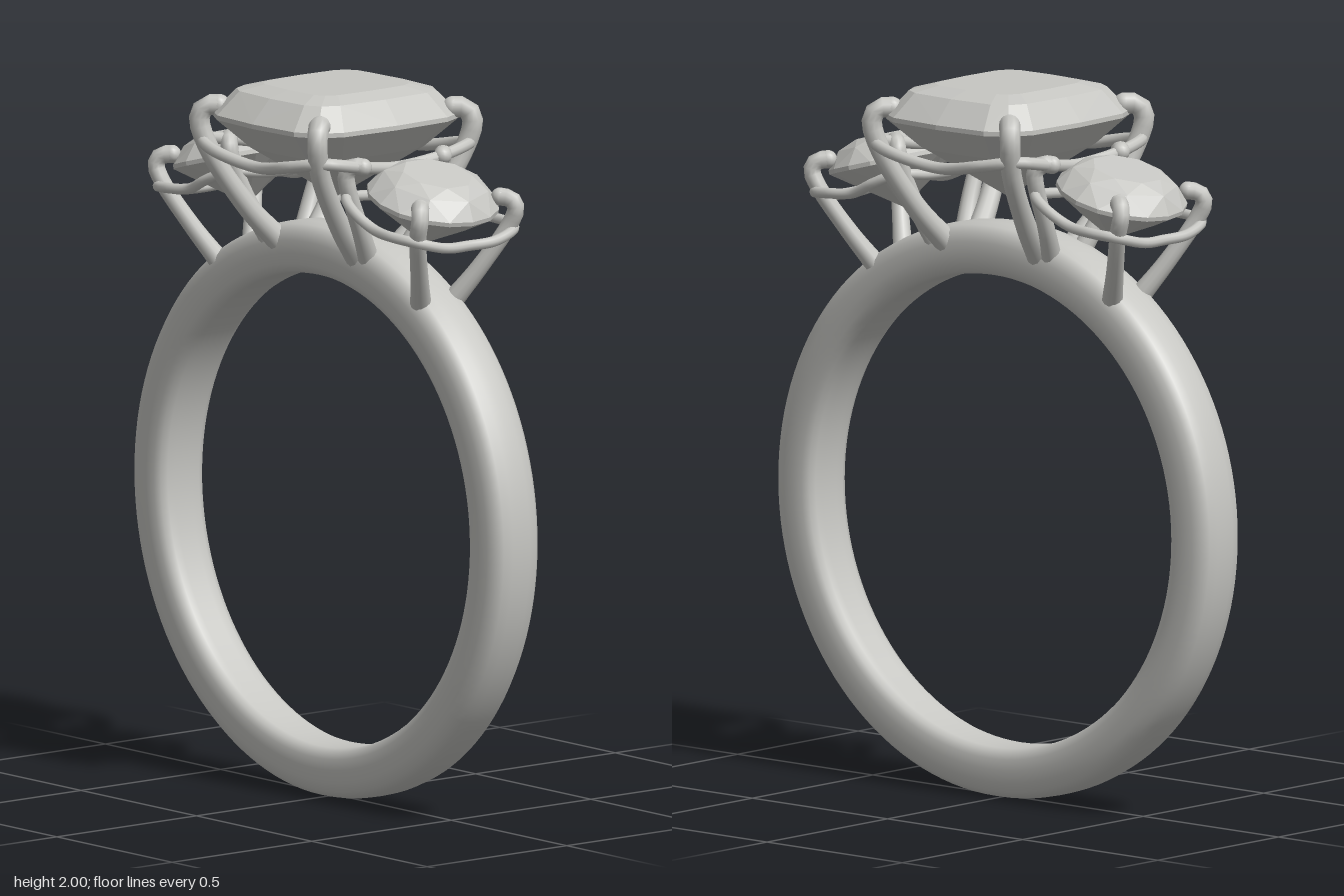
import * as THREE from 'three';
import { ConvexGeometry } from 'three/addons/geometries/ConvexGeometry.js';

const V = (x, y, z) => new THREE.Vector3(x, y, z);
const silver = new THREE.MeshStandardMaterial({ color: 0xc6c6c2 });
silver.name = 'silver';

function add(parent, geometry, name) {
  const mesh = new THREE.Mesh(geometry, silver);
  mesh.name = name;
  parent.add(mesh);
  return mesh;
}

// One loop of a stone: a superellipse, round at power 2 and squarer above it
function loop(n, rx, rz, y, power = 2, offset = 0) {
  return Array.from({ length: n }, (_, i) => {
    const a = (i + offset) / n * Math.PI * 2;
    const f = v => Math.sign(v) * Math.pow(Math.abs(v), 2 / power);
    return V(rx * f(Math.cos(a)), y, rz * f(Math.sin(a)));
  });
}

// Claw: a bent round wire, wider at the foot and tip, with a rounded tip
function addProng(parent, points, radius, name) {
  const curve = new THREE.CatmullRomCurve3(points);
  const rings = 20, sides = 12;
  const geo = new THREE.TubeGeometry(curve, rings, radius, sides);
  const p = geo.attributes.position, v = V(), c = V();
  for (let i = 0; i < p.count; i++) {
    const t = Math.floor(i / (sides + 1)) / rings;
    curve.getPointAt(t, c);
    v.fromBufferAttribute(p, i).sub(c);
    v.multiplyScalar(1 + 0.35 * Math.pow(1 - t, 3) + 0.15 * t * t).add(c);
    p.setXYZ(i, v.x, v.y, v.z);
  }
  add(parent, geo, name);
  const tip = add(parent, new THREE.SphereGeometry(radius * 1.15, 14, 10), name + 'Tip');
  tip.position.copy(points[points.length - 1]);
}

// Closed wire rail, mirrored from one quadrant running from +x to +z
function addRail(parent, quadrant, radius, name) {
  const points = [];
  for (const [sx, sz] of [[1, 1], [-1, 1], [-1, -1], [1, -1]]) {
    const q = sx * sz > 0 ? quadrant : [...quadrant].reverse();
    q.slice(0, -1).forEach(([x, y, z]) => points.push(V(x * sx, y, z * sz)));
  }
  const curve = new THREE.CatmullRomCurve3(points, true);
  return add(parent, new THREE.TubeGeometry(curve, 96, radius, 10, true), name);
}

function createBand() {
  const half = [[0.662, 0.03], [0.662, 0.056], [0.67, 0.074], [0.69, 0.083], [0.72, 0.086],
    [0.755, 0.084], [0.782, 0.076], [0.798, 0.058], [0.804, 0.03]];
  const profile = [
    ...half.map(([r, h]) => new THREE.Vector2(r, -h)),
    new THREE.Vector2(0.805, 0),
    ...[...half].reverse().map(([r, h]) => new THREE.Vector2(r, h)),
    new THREE.Vector2(0.662, -0.03),
  ];
  const geo = new THREE.LatheGeometry(profile, 128);
  geo.rotateX(Math.PI / 2);
  // Slightly wider toward the setting
  const p = geo.attributes.position;
  for (let i = 0; i < p.count; i++) p.setZ(i, p.getZ(i) * (1 + 0.06 * p.getY(i) / 0.8));
  geo.translate(0, 0.805, 0);
  return geo;
}

export function createModel() {
  const ring = new THREE.Group();
  ring.name = 'ring';
  add(ring, createBand(), 'band');

  // Centre stone: cushion cut
  const centre = new THREE.Group();
  centre.name = 'centreSetting';
  ring.add(centre);
  add(centre, new ConvexGeometry([
    ...loop(16, 0.155, 0.172, 2.0, 5),
    ...loop(16, 0.215, 0.238, 1.983, 4.5),
    ...loop(16, 0.27, 0.3, 1.918, 4),
    ...loop(16, 0.27, 0.3, 1.905, 4),
    ...loop(16, 0.195, 0.215, 1.825, 4),
    V(0, 1.68, 0),
  ]), 'centreStone');
  addRail(centre, [
    [0.262, 1.80, 0], [0.285, 1.82, 0.15], [0.262, 1.838, 0.262],
    [0.17, 1.822, 0.3], [0, 1.795, 0.283],
  ], 0.017, 'centreRail');
  for (const sx of [1, -1]) for (const sz of [1, -1]) {
    addProng(centre, [
      V(0.17 * sx, 1.54, 0.062 * sz), V(0.2 * sx, 1.64, 0.15 * sz),
      V(0.24 * sx, 1.81, 0.256 * sz), V(0.256 * sx, 1.9, 0.278 * sz),
      V(0.243 * sx, 1.932, 0.265 * sz), V(0.218 * sx, 1.935, 0.238 * sz),
    ], 0.026, 'centreProng');
  }

  // Side stones: round brilliants tilted outward
  for (const sx of [1, -1]) {
    const side = new THREE.Group();
    side.name = sx > 0 ? 'leftSetting' : 'rightSetting';
    ring.add(side);
    const head = new THREE.Group();
    head.name = 'sideHead';
    head.position.set(0.42 * sx, 1.735, 0);
    head.rotation.z = -0.27 * sx;
    side.add(head);
    add(head, new ConvexGeometry([
      ...loop(8, 0.1, 0.1, 0.075, 2, 0.5),
      ...loop(8, 0.147, 0.147, 0.053),
      ...loop(16, 0.18, 0.19, 0.006),
      ...loop(16, 0.18, 0.19, -0.006),
      ...loop(8, 0.11, 0.115, -0.06, 2, 0.5),
      V(0, -0.135, 0),
    ]), 'sideStone');
    addRail(head, [
      [0.18, -0.065, 0], [0.184, -0.06, 0.09], [0.157, -0.045, 0.175],
      [0.09, -0.055, 0.2], [0, -0.07, 0.196],
    ], 0.015, 'sideRail');
    for (const sz of [1, -1]) {
      addProng(side, [
        V(0.44 * sx, 1.45, 0.06 * sz), V(0.492 * sx, 1.54, 0.108 * sz),
        V(0.555 * sx, 1.665, 0.165 * sz), V(0.572 * sx, 1.71, 0.172 * sz),
        V(0.562 * sx, 1.734, 0.163 * sz), V(0.538 * sx, 1.74, 0.143 * sz),
      ], 0.022, 'outerProng');
      addProng(side, [
        V(0.215 * sx, 1.54, 0.06 * sz), V(0.238 * sx, 1.63, 0.108 * sz),
        V(0.25 * sx, 1.76, 0.165 * sz), V(0.253 * sx, 1.8, 0.172 * sz),
        V(0.268 * sx, 1.822, 0.163 * sz), V(0.29 * sx, 1.82, 0.143 * sz),
      ], 0.022, 'innerProng');
    }
  }
  return ring;
}
